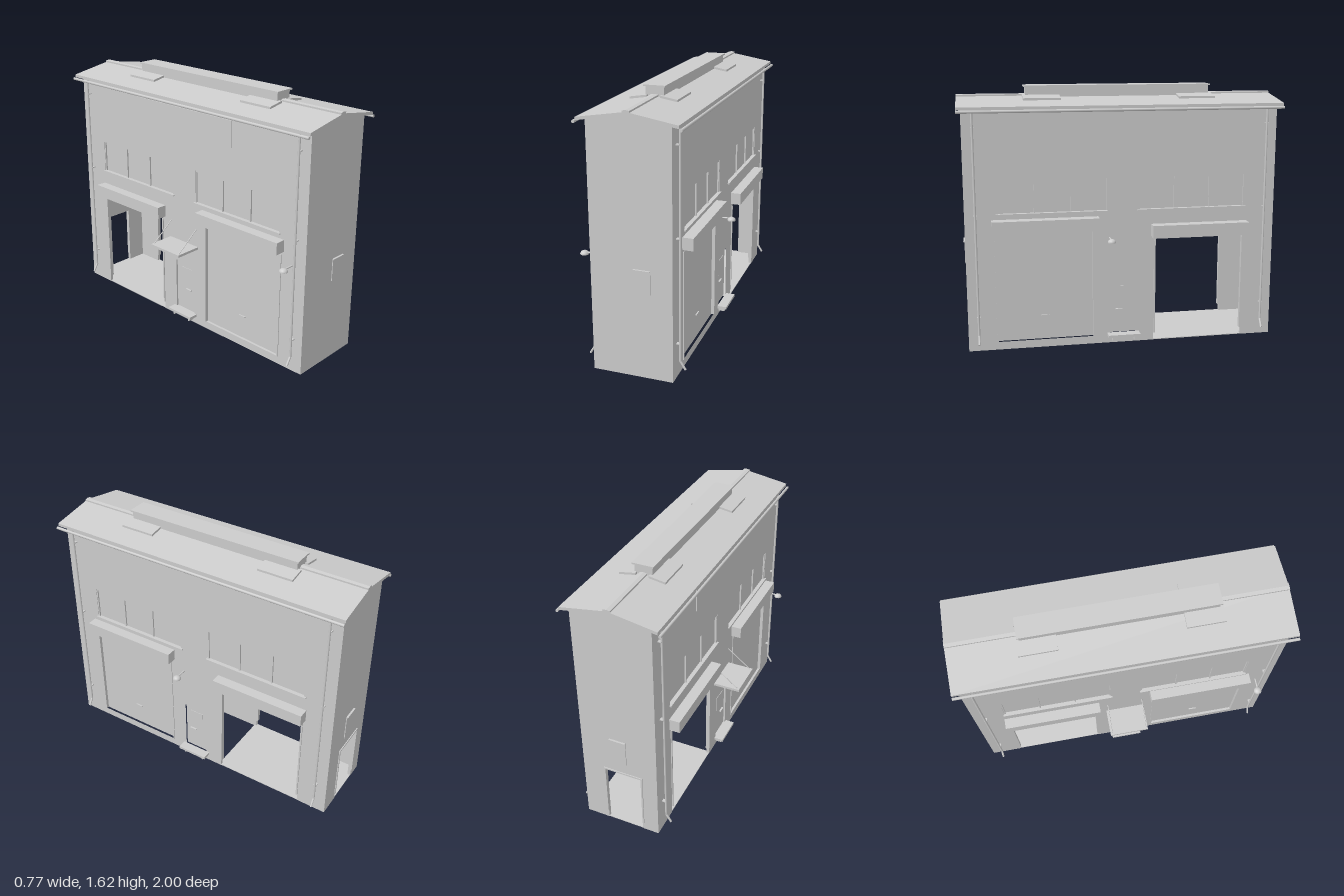
import * as THREE from 'three';

const CX = 0.03, HALF = 0.245, LEN = 0.975, T = 0.02;

export function createModel() {
  const model = new THREE.Group();
  model.name = 'narrowBuilding';
  const grey = new THREE.MeshStandardMaterial({ color: 0xcccccc });
  grey.name = 'paleGrey';

  const add = (name, geo, parent = model) => {
    const m = new THREE.Mesh(geo, grey);
    m.name = name;
    parent.add(m);
    return m;
  };
  const box = (name, x0, x1, y0, y1, z0, z1, parent) => {
    const g = new THREE.BoxGeometry(Math.abs(x1 - x0), Math.abs(y1 - y0), Math.abs(z1 - z0));
    g.translate((x0 + x1) / 2, (y0 + y1) / 2, (z0 + z1) / 2);
    return add(name, g, parent);
  };
  const poly = pts => new THREE.Shape(pts.map(p => new THREE.Vector2(...p)));
  const prism = (shape, depth) => new THREE.ExtrudeGeometry(shape, { depth, bevelEnabled: false, curveSegments: 8 });
  // Straight round bar between two points
  const rod = (name, a, b, r, parent) => {
    const p = new THREE.Vector3(...a), q = new THREE.Vector3(...b);
    const d = q.clone().sub(p);
    const m = add(name, new THREE.CylinderGeometry(r, r, d.length(), 10), parent);
    m.position.copy(p).add(q).multiplyScalar(0.5);
    m.quaternion.setFromUnitVectors(new THREE.Vector3(0, 1, 0), d.normalize());
    return m;
  };

  // Gable walls; the back one has a doorway
  const top = [[CX + HALF, 1.5], [CX, 1.548], [CX - HALF, 1.5], [CX - HALF, 0]];
  add('frontWall', prism(poly([[CX + HALF, 0], ...top]), T)).position.z = LEN - T;
  add('backWall', prism(poly([[CX + HALF, 0], ...top, [-0.11, 0], [-0.11, 0.41], [0.125, 0.41], [0.125, 0]]), T)).position.z = -LEN;
  box('doorwayLintel', -0.12, 0.135, 0.41, 0.42, -LEN - 0.006, -LEN);
  for (const x of [-0.12, 0.125]) box('doorwayFrame', x, x + 0.01, 0.05, 0.41, -LEN - 0.006, -LEN);

  // Small panels on the gables, each under a narrow hood
  box('frontPanel', 0.045, 0.145, 0.53, 0.668, LEN, LEN + 0.005);
  box('frontPanelHood', 0.045, 0.145, 0.668, 0.674, LEN, LEN + 0.012);
  box('backPanel', -0.02, 0.085, 0.49, 0.655, -LEN - 0.005, -LEN);
  box('backPanelHood', -0.02, 0.085, 0.655, 0.661, -LEN - 0.012, -LEN);

  // Floor of the open bay
  box('bayFloor', CX - HALF + 0.002, CX + HALF - 0.002, 0, 0.005, -LEN + 0.002, -0.18);

  const windows = [[0.1, 0.78], [-0.78, -0.095]];

  for (const s of [1, -1]) {
    const side = new THREE.Group();
    side.name = s > 0 ? 'leftSide' : 'rightSide';
    model.add(side);
    const X = d => CX + s * (HALF + d);
    const sb = (name, d0, d1, y0, y1, z0, z1) => box(name, X(d0), X(d1), y0, y1, z0, z1, side);

    // Long wall with garage, door, bay and window openings
    const u = z => -s * z;
    const wall = poly([[u(-LEN), 0], [u(-0.78), 0], [u(-0.78), 0.67], [u(-0.195), 0.67], [u(-0.195), 0],
      [u(LEN), 0], [u(LEN), 1.5], [u(-LEN), 1.5]]);
    const holes = [[0.185, 0.8, 0.05, 0.735], [-0.08, 0.085, 0.065, 0.41], ...windows.map(w => [...w, 0.865, 1.075])];
    for (const [a, b, y0, y1] of holes)
      wall.holes.push(new THREE.Path([[a, y0], [b, y0], [b, y1], [a, y1]].map(([z, y]) => new THREE.Vector2(u(z), y))));
    const wg = prism(wall, T);
    wg.translate(0, 0, -T);
    wg.rotateY(s * Math.PI / 2);
    add('longWall', wg, side).position.x = X(0);

    // Garage shutter with guide rails and handle
    sb('garageDoor', -0.024, -0.016, 0.05, 0.735, 0.185, 0.8);
    for (const z of [0.185, 0.79]) sb('garageRail', -0.018, 0.005, 0.05, 0.735, z, z + 0.01);
    sb('garageHandle', -0.016, -0.008, 0.2, 0.207, 0.47, 0.52);
    // Bay opening frame
    for (const z of [-0.78, -0.205]) sb('bayFrame', -T, 0.006, 0.05, 0.67, z, z + 0.01);

    // Shutter boxes
    sb('garageShutterBox', 0, 0.066, 0.755, 0.83, 0.16, 0.815);
    sb('bayShutterBox', 0, 0.066, 0.69, 0.768, -0.795, -0.175);

    // Side door, handle and step
    sb('sideDoor', -0.02, -0.012, 0.065, 0.41, -0.08, 0.085);
    sb('sideDoorPane', -0.012, -0.009, 0.26, 0.37, -0.045, 0.05);
    sb('sideDoorHandle', -0.012, 0, 0.216, 0.222, 0.005, 0.052);
    sb('doorStep', 0, 0.06, 0.05, 0.067, -0.1, 0.105);
    for (const z of [-0.075, 0.065]) sb('stepBracket', 0, 0.04, 0.02, 0.05, z, z + 0.01);

    // Three-pane windows
    for (const [a, b] of windows) {
      sb('windowGlass', -0.02, -0.013, 0.865, 1.075, a, b);
      for (let i = 0; i <= 3; i++) {
        const z = a + 0.004 + (b - a - 0.008) * i / 3;
        sb('windowBar', -0.015, -0.003, 0.865, 1.075, z - 0.004, z + 0.004);
      }
      sb('windowHead', -0.015, -0.003, 1.067, 1.075, a, b);
      sb('windowSill', -0.015, 0.012, 0.857, 0.865, a - 0.008, b + 0.008);
    }

    // Gutter and downpipes
    rod('gutter', [X(0.058), 1.488, -1], [X(0.058), 1.488, 1], 0.009, side);
    for (const z of [-0.905, 0.91]) {
      rod('downpipe', [X(0.022), 1.5, z], [X(0.022), 0.105, z], 0.007, side);
      rod('downpipeFoot', [X(0.022), 0.108, z], [X(0.053), 0.058, z], 0.007, side);
      for (const y of [0.22, 0.86, 1.39]) sb('pipeClip', 0, 0.022, y - 0.003, y + 0.003, z - 0.01, z + 0.01);
    }

    // Dome wall lamp on a short arm
    const lz = s > 0 ? 0.088 : 0.88;
    const lamp = add('wallLamp', new THREE.SphereGeometry(0.026, 16, 6, 0, Math.PI * 2, 0, Math.PI / 2), side);
    lamp.position.set(X(0.08), 0.68, lz);
    lamp.scale.y = 0.8;
    const base = add('lampBase', new THREE.CylinderGeometry(0.026, 0.026, 0.003, 16), side);
    base.position.set(X(0.08), 0.68, lz);
    rod('lampArm', [X(0), 0.69, lz], [X(0.07), 0.69, lz], 0.005, side);

    // Sloping roof half, with raised plates beside the ridge vent
    const slope = (d, lift) => 1.563 - d * 0.167 + lift;
    const slab = (name, d0, d1, lo, hi, z0, z1) => {
      const g = prism(poly([[CX + s * d0, slope(d0, lo)], [CX + s * d1, slope(d1, lo)],
        [CX + s * d1, slope(d1, hi)], [CX + s * d0, slope(d0, hi)]]), z1 - z0);
      add(name, g, side).position.z = z0;
    };
    slab('roof', 0, 0.292, -0.018, 0, -1, 1);
    slab('ridgeCap', 0, 0.022, 0, 0.01, -1, 1);
    for (const z of [-0.6, 0.37]) slab('roofPlate', 0.04, 0.143, 0, 0.013, z, z + 0.23);
  }

  // Ridge vent
  box('ridgeVent', -0.025, 0.085, 1.545, 1.615, -0.58, 0.58);
  box('ridgeVentCap', -0.036, 0.097, 1.614, 1.624, -0.59, 0.59);

  // Blank sign panel, door canopy and tie rods on one side
  const wx = CX - HALF;
  box('signPanel', wx - 0.005, wx, 1.29, 1.455, -0.42, 0.4);
  box('canopy', -0.39, wx, 0.546, 0.562, -0.13, 0.122);
  box('canopyLight', -0.32, -0.28, 0.538, 0.546, -0.04, 0.03);
  for (const z of [-0.118, 0.11]) rod('canopyRod', [-0.375, 0.562, z], [wx, 0.685, z], 0.003);

  return model;
}
